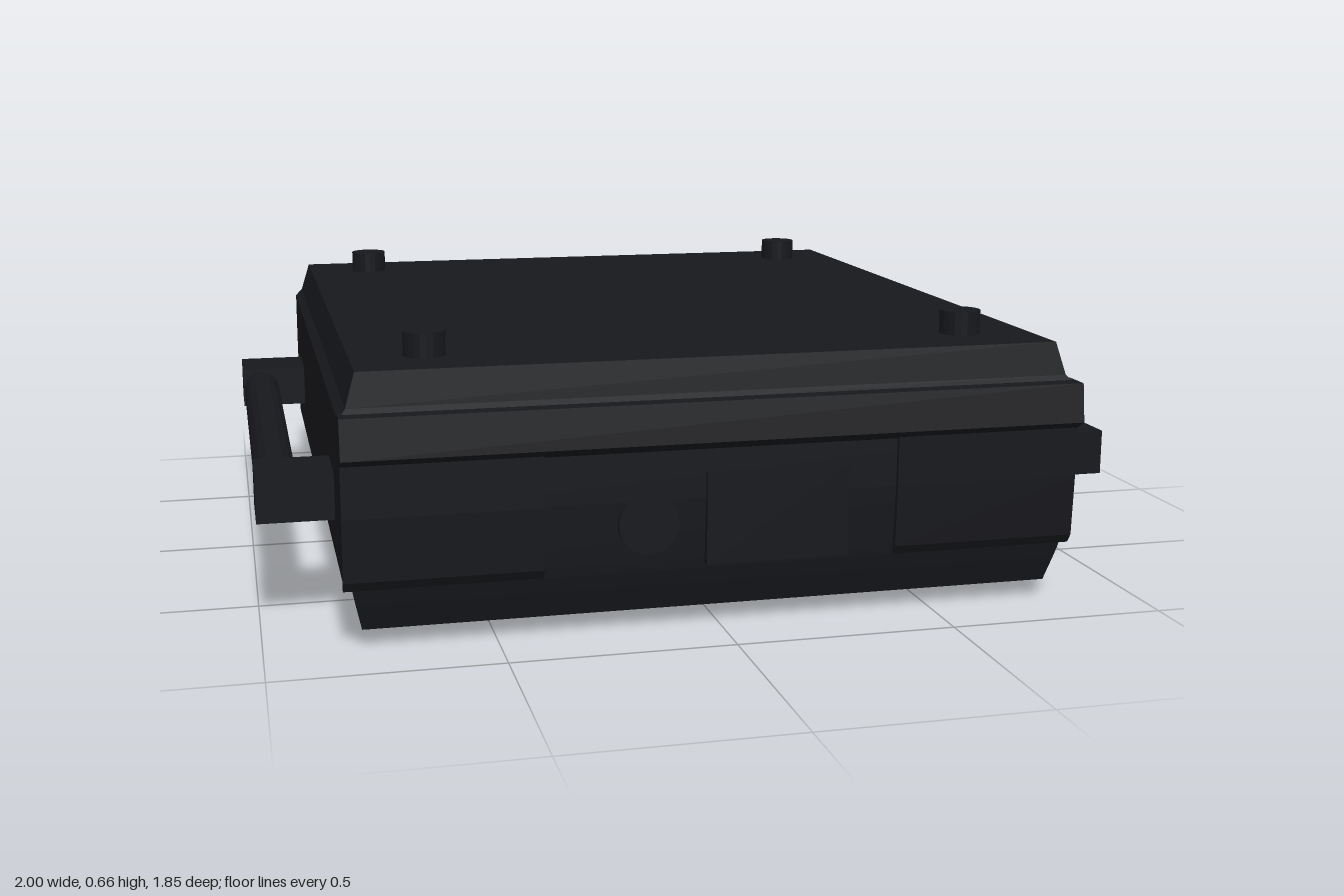
import * as THREE from 'three';

const material = new THREE.MeshStandardMaterial({ color: 0x17181c, flatShading: true });

// Stack of rectangles, each row being [y, xMin, xMax, zFront, zBack]
function loft(rows) {
  const pos = [], index = [];
  for (const [y, x0, x1, zf, zb] of rows) pos.push(x0, y, zf, x1, y, zf, x1, y, zb, x0, y, zb);
  const last = (rows.length - 1) * 4;
  for (let r = 0; r < last; r += 4) {
    for (let i = 0; i < 4; i++) {
      const j = (i + 1) % 4;
      index.push(r + i, r + j, r + 4 + j, r + i, r + 4 + j, r + 4 + i);
    }
  }
  index.push(0, 2, 1, 0, 3, 2, last, last + 1, last + 2, last, last + 2, last + 3);
  const geometry = new THREE.BufferGeometry();
  geometry.setAttribute('position', new THREE.Float32BufferAttribute(pos, 3));
  geometry.setIndex(index);
  const flat = geometry.toNonIndexed();
  flat.computeVertexNormals();
  return flat;
}

export function createModel() {
  const model = new THREE.Group();
  model.name = 'equipmentCase';

  function add(name, geometry, x = 0, y = 0, z = 0, parent = model) {
    const mesh = new THREE.Mesh(geometry, material);
    mesh.name = name;
    mesh.position.set(x, y, z);
    parent.add(mesh);
    return mesh;
  }
  const box = (w, h, d) => new THREE.BoxGeometry(w, h, d);

  // Main shell: [y, half width, front z, back z], with the back set in for its panels
  const recess = -0.885;
  const shell = [
    [0.04, 0.79, 0.835, -0.88],
    [0.10, 0.803, 0.856, -0.897],
    [0.10, 0.803, 0.856, recess],
    [0.137, 0.81, 0.868, recess],
    [0.16, 0.83, 0.872, recess],
    [0.30, 0.83, 0.882, recess],
    [0.41, 0.83, 0.882, recess],
    [0.51, 0.83, 0.882, recess],
    [0.53, 0.812, 0.857, recess],
    [0.53, 0.812, 0.857, -0.908],
    [0.605, 0.79, 0.845, -0.89],
  ];
  add('shell', loft(shell.map(([y, hx, zf, zb]) => [y, -hx, hx, zf, zb])));

  // Curved uprights between the recessed back panels
  const backCurve = [
    [0.10, 0.803, -0.897], [0.137, 0.81, -0.907], [0.16, 0.83, -0.912], [0.22, 0.83, -0.919],
    [0.35, 0.83, -0.925], [0.43, 0.83, -0.922], [0.51, 0.83, -0.912], [0.53, 0.812, -0.908],
  ];
  for (const s of [-1, 1]) {
    add('backCorner', loft(backCurve.map(([y, hx, zb]) =>
      [y, Math.min(s * 0.65, s * hx), Math.max(s * 0.65, s * hx), recess, zb])));
    add('backRib', loft(backCurve.map(([y, , zb]) =>
      [y, s * 0.325 - 0.045, s * 0.325 + 0.045, recess, zb])));
  }

  // Overhanging front lip under the lid
  add('frontLip', loft([
    [0.41, -0.83, 0.83, 0.885, 0.86],
    [0.432, -0.83, 0.83, 0.923, 0.86],
    [0.52, -0.83, 0.83, 0.91, 0.84],
  ]));

  // Raised panels at both ends of the front
  for (const s of [-1, 1]) {
    const a = Math.min(s * 0.4, s * 0.83), b = Math.max(s * 0.4, s * 0.83);
    add('frontPanel', loft([
      [0.138, a, b, 0.87, 0.865],
      [0.16, a, b, 0.885, 0.865],
      [0.30, a, b, 0.892, 0.865],
      [0.415, a, b, 0.892, 0.865],
    ]));
  }

  // Front hatch and round port
  add('frontHatch', box(0.325, 0.21, 0.03), 0.122, 0.255, 0.877);
  add('frontPort', new THREE.CylinderGeometry(0.068, 0.068, 0.03, 24), -0.17, 0.25, 0.877)
    .rotation.x = Math.PI / 2;

  // Side handles: two blocks and a round grip
  for (const s of [-1, 1]) {
    const handle = new THREE.Group();
    handle.name = s > 0 ? 'leftHandle' : 'rightHandle';
    model.add(handle);
    for (const z of [-0.655, 0.605])
      add('handleBlock', box(0.18, 0.105, 0.17), s * 0.91, 0.3, z, handle);
    add('grip', new THREE.CylinderGeometry(0.048, 0.048, 1.12, 16), s * 0.95, 0.297, -0.025, handle)
      .rotation.x = Math.PI / 2;
  }

  // Stacking studs on top
  for (const x of [-0.625, 0.625])
    for (const z of [-0.72, 0.68])
      add('topStud', new THREE.CylinderGeometry(0.047, 0.047, 0.065, 20), x, 0.6275, z);

  // Round mount underneath
  add('bottomMount', new THREE.CylinderGeometry(0.146, 0.146, 0.05, 32), 0, 0.025, -0.018);

  return model;
}
